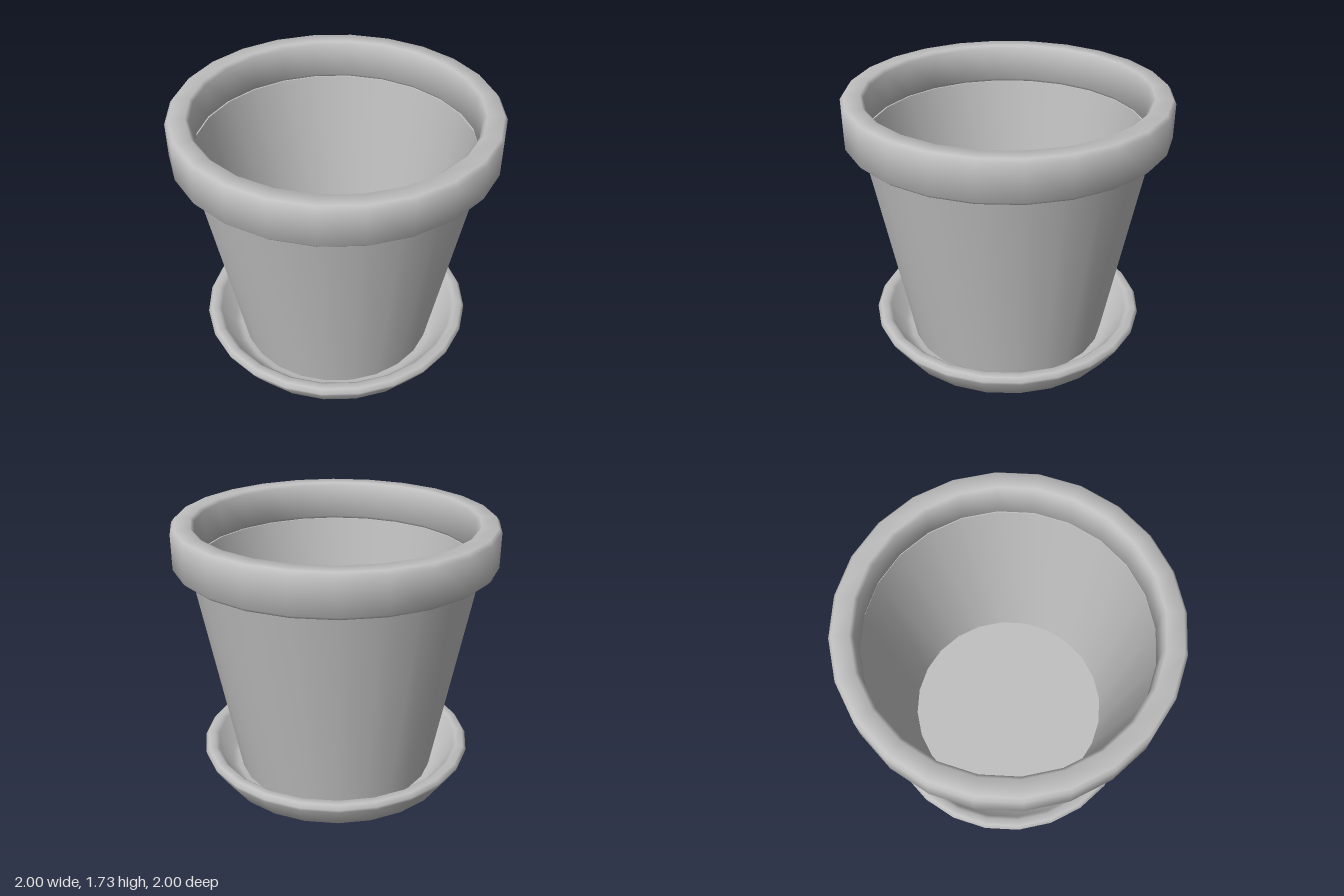
import * as THREE from 'three';
import { toCreasedNormals } from 'three/addons/utils/BufferGeometryUtils.js';

const SIDES = 24;

// Turns a [radius, height] profile (up the outside, down the inside) into a named mesh.
function turned(name, profile, material) {
  const points = profile.map(([r, y]) => new THREE.Vector2(r, y));
  const geometry = toCreasedNormals(new THREE.LatheGeometry(points, SIDES), Math.PI / 3.3);
  const mesh = new THREE.Mesh(geometry, material);
  mesh.name = name;
  return mesh;
}

export function createModel() {
  const clay = new THREE.MeshStandardMaterial({ color: 0xc0c0c0 });
  clay.name = 'grey clay';

  const group = new THREE.Group();
  group.name = 'flowerPot';

  // Saucer with sloping sides and a rounded lip
  group.add(turned('saucer', [
    [0, 0], [0.68, 0.01], [0.74, 0.015], [0.78, 0.04],
    [0.88, 0.19], [0.885, 0.21], [0.865, 0.235],
    [0.82, 0.235], [0.795, 0.215], [0.71, 0.08], [0.67, 0.065], [0, 0.065],
  ], clay));

  // Tapered, hollow pot body with its floor
  group.add(turned('potBody', [
    [0, 0.066], [0.643, 0.066], [0.9, 1.475],
    [0.865, 1.475], [0.655, 0.27], [0, 0.27],
  ], clay));

  // Thick collar around the top, bevelled on all four edges
  group.add(turned('rim', [
    [0.88, 1.47], [0.98, 1.47], [1, 1.49], [1, 1.705], [0.98, 1.73],
    [0.88, 1.73], [0.86, 1.71], [0.86, 1.495], [0.88, 1.47],
  ], clay));

  return group;
}
